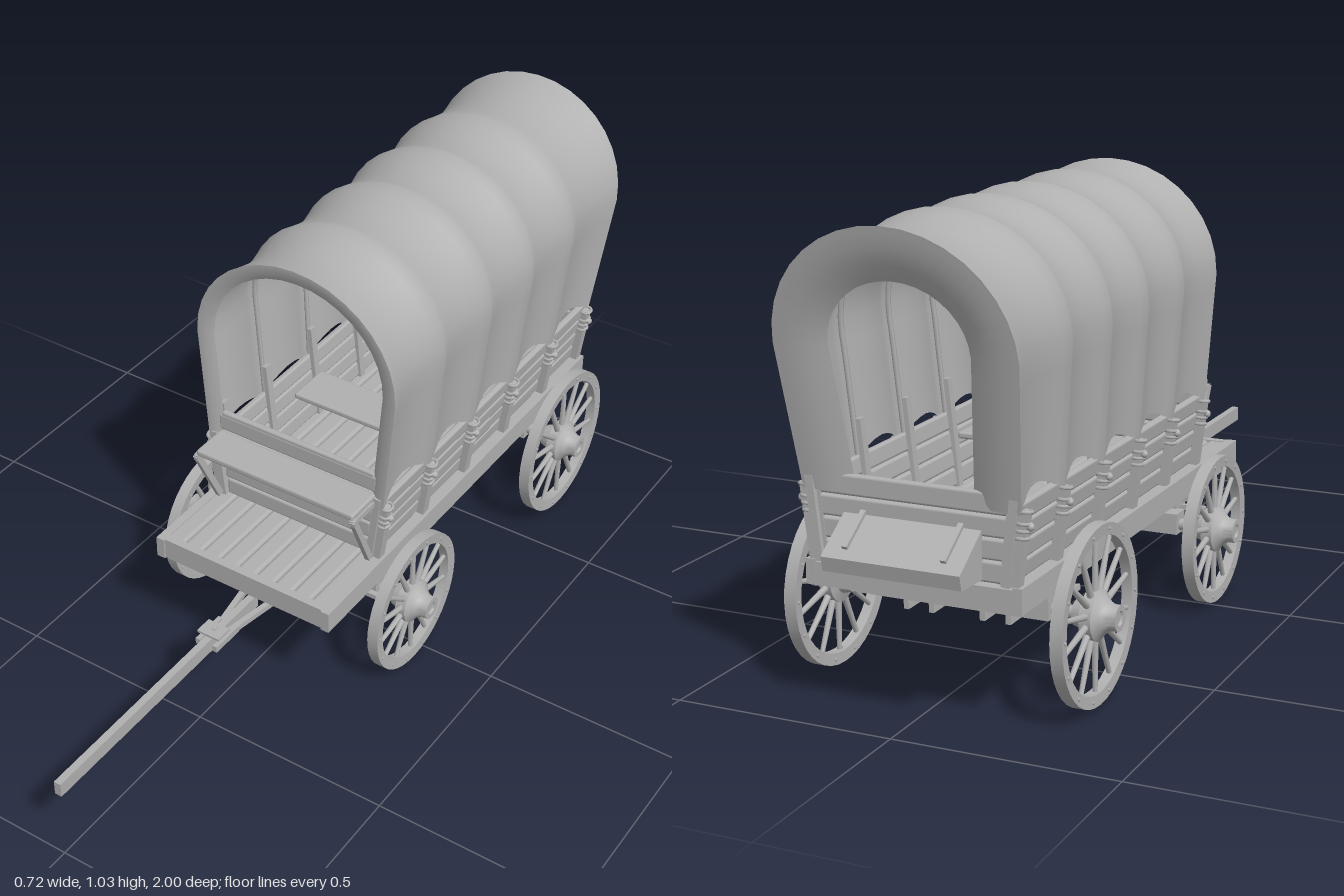
import * as THREE from 'three';
import { toCreasedNormals } from 'three/addons/utils/BufferGeometryUtils.js';
import { RoundedBoxGeometry } from 'three/addons/geometries/RoundedBoxGeometry.js';

const grey = new THREE.MeshStandardMaterial({ color: 0xb0b0b0, side: THREE.DoubleSide });
grey.name = 'warm wood grey';

function add(parent, name, geometry) {
  const mesh = new THREE.Mesh(geometry, grey);
  mesh.name = name;
  parent.add(mesh);
  return mesh;
}
function box(parent, name, w, h, d, x, y, z) {
  const m = add(parent, name, new THREE.BoxGeometry(w, h, d));
  m.position.set(x, y, z);
  return m;
}
function plank(parent, name, w, h, d, x, y, z) {
  const m = add(parent, name, new RoundedBoxGeometry(w, h, d, 2, Math.min(w, h, d) * 0.35));
  m.position.set(x, y, z);
  return m;
}
// straight beam between two points
function bar(parent, name, a, b, w, h) {
  const p = new THREE.Vector3(...a), q = new THREE.Vector3(...b);
  const m = add(parent, name, new THREE.BoxGeometry(w, h, p.distanceTo(q)));
  m.position.copy(p).add(q).multiplyScalar(0.5);
  m.lookAt(q);
  return m;
}
function lathe(points, segments) {
  const g = new THREE.LatheGeometry(points.map(p => new THREE.Vector2(...p)), segments);
  return toCreasedNormals(g.rotateZ(-Math.PI / 2), 0.6);
}

// wheel with its axle along x, outer face towards +x
function wheel(R) {
  const g = new THREE.Group();
  const r = R - 0.026;
  add(g, 'rim', lathe([[r, -0.012], [R, -0.014], [R, 0.014], [r, 0.012], [r, -0.012]], 40));
  add(g, 'hub', lathe([[0, -0.042], [0.028, -0.042], [0.034, -0.02], [0.054, -0.014], [0.054, 0.012],
    [0.04, 0.022], [0.033, 0.03], [0.028, 0.04], [0.028, 0.056], [0.016, 0.056], [0.014, 0.05], [0, 0.05]], 20));
  for (let i = 0; i < 14; i++) {
    const a = (i / 14) * Math.PI * 2;
    const spoke = add(g, 'spoke', new THREE.CylinderGeometry(0.0055, 0.008, r - 0.035, 8));
    const mid = (r + 0.045) / 2;
    spoke.position.set(0, Math.cos(a) * mid, Math.sin(a) * mid);
    spoke.rotation.x = a;
    const bolt = add(g, 'rimBolt', new THREE.CylinderGeometry(0.004, 0.004, 0.034, 6));
    bolt.rotation.z = Math.PI / 2;
    bolt.position.set(0, Math.cos(a + 0.22) * (R - 0.013), Math.sin(a + 0.22) * (R - 0.013));
  }
  return g;
}

// cover hoops: z at the side boards and at the crown
const postZ = [0.085, -0.11, -0.305, -0.5, -0.7, -0.885];
const footZ = [0.1, -0.11, -0.305, -0.5, -0.7, -0.9];
const crownZ = [0.1, -0.11, -0.33, -0.53, -0.73, -1.0];
const lerp = THREE.MathUtils.lerp;

// point on the arch: v from -1 to 1, k = hoop position, d = inset
function archPoint(v, k, d, foot, dz = 0) {
  const s = Math.sign(v), t = Math.abs(v), i = Math.min(4, Math.floor(k)), f = k - i;
  let x, y;
  if (t > 0.6) {
    const u = (t - 0.6) / 0.4;
    y = lerp(0.78, foot, u);
    x = s * (0.27 - d - 0.025 * (0.78 - y) / 0.31);
  } else {
    const a = (t / 0.6) * Math.PI / 2;
    x = s * (0.27 - d) * Math.sin(a);
    y = 0.78 + (0.255 - d) * Math.cos(a);
  }
  const z = lerp(lerp(footZ[i], footZ[i + 1], f), lerp(crownZ[i], crownZ[i + 1], f), (y - 0.47) / 0.565);
  return new THREE.Vector3(x, y, z + dz);
}

function coverGeometry() {
  const rows = [[0, 0.04, 0.47, -0.012], [0, 0.02, 0.47, 0]];
  for (let j = 0; j <= 40; j++) {
    const wave = Math.abs(Math.sin(j / 8 * Math.PI));
    rows.push([j / 8, wave * 0.018, 0.47 + wave * 0.04, 0]);
  }
  // gathered canvas around the rear opening
  rows.push([5, 0.012, 0.47, 0], [5, 0.04, 0.47, 0], [5, 0.08, 0.47, 0.008], [5, 0.113, 0.47, 0.022]);
  const N = 30, pos = [], idx = [];
  rows.forEach(([k, d, foot, dz], r) => {
    for (let i = 0; i <= N; i++) {
      pos.push(...archPoint(i / N * 2 - 1, k, d, foot, dz).toArray());
      if (r && i) {
        const c = r * (N + 1) + i, b = c - N - 1;
        idx.push(b - 1, b, c - 1, b, c, c - 1);
      }
    }
  });
  const g = new THREE.BufferGeometry();
  g.setAttribute('position', new THREE.Float32BufferAttribute(pos, 3));
  g.setIndex(idx);
  return toCreasedNormals(g, 0.65);
}

export function createModel() {
  const wagon = new THREE.Group();
  wagon.name = 'coveredWagon';

  // canvas cover and bent hoops
  add(wagon, 'canvasCover', coverGeometry());
  for (let k = 0; k < 6; k++) {
    const pts = [];
    for (let i = 0; i <= 20; i++) pts.push(archPoint(i / 10 - 1, k, 0.014, 0.47, k === 5 ? 0.015 : k ? 0 : -0.02));
    add(wagon, 'hoop', new THREE.TubeGeometry(new THREE.CatmullRomCurve3(pts), 40, 0.006, 6));
  }

  // bed: lengthwise floor boards between two rails
  const bed = new THREE.Group();
  bed.name = 'bed';
  wagon.add(bed);
  for (let i = 0; i < 9; i++) plank(bed, 'floorBoard', 0.05, 0.026, 1.2, (i - 4) * 0.0515, 0.305, -0.285);
  for (const s of [-1, 1]) {
    box(bed, 'sideRail', 0.022, 0.055, 1.225, s * 0.234, 0.2925, -0.288);
    for (const x of [0.06, 0.125]) box(bed, 'floorBeam', 0.022, 0.04, 1.18, s * x, 0.275, -0.29);
  }
  box(bed, 'frontSill', 0.45, 0.055, 0.02, 0, 0.2925, 0.31);
  box(bed, 'rearSill', 0.45, 0.05, 0.02, 0, 0.29, -0.89);

  // leaning side walls with posts, stakes and rope ties
  for (const s of [-1, 1]) {
    const wall = new THREE.Group();
    wall.name = s > 0 ? 'leftWall' : 'rightWall';
    wagon.add(wall);
    for (let i = 0; i < 4; i++) {
      const p = plank(wall, 'sidePlank', 0.018, 0.041, 0.985, s * (0.212 + i * 0.006), 0.341 + i * 0.043, -0.4);
      p.rotation.z = -s * 0.14;
    }
    postZ.forEach((z, i) => {
      bar(wall, 'post', [s * 0.226, 0.32, z], [s * 0.246, 0.475, z], 0.024, 0.02);
      bar(wall, 'innerStake', [s * 0.2, 0.32, z - (i ? 0 : 0.02)], [s * 0.226, 0.57, z - (i ? 0 : 0.02)], 0.02, 0.012);
      for (const y of [0.42, 0.435, 0.45, 0.475]) {
        const tie = add(wall, 'ropeTie', new THREE.TorusGeometry(0.014, 0.004, 6, 12));
        tie.rotation.x = Math.PI / 2 + 0.15;
        tie.position.set(s * (0.236 + (y - 0.4) * 0.14), y, z);
      }
      const knot = add(wall, 'ropeKnot', new THREE.SphereGeometry(0.009, 8, 6));
      knot.position.set(s * 0.257, 0.445, z);
    });
  }

  // front and rear walls
  for (let i = 0; i < 5; i++) {
    const y = 0.343 + i * 0.047, w = 0.405 + i * 0.01;
    plank(wagon, 'frontPlank', w, 0.045, 0.018, 0, y, 0.085);
    if (i < 4) plank(wagon, 'rearPlank', w + 0.01, 0.045, 0.018, 0, y, -0.885);
  }
  for (const s of [-1, 1]) {
    bar(wagon, 'frontCorner', [s * 0.21, 0.32, 0.095], [s * 0.23, 0.5, 0.095], 0.018, 0.018);
    bar(wagon, 'rearCorner', [s * 0.21, 0.32, -0.897], [s * 0.23, 0.5, -0.897], 0.018, 0.018);
  }

  // driver's seat
  plank(wagon, 'seat', 0.44, 0.018, 0.1, 0, 0.497, 0.14);
  plank(wagon, 'seatBack', 0.43, 0.045, 0.016, 0, 0.538, 0.085);
  for (const s of [-1, 1]) {
    bar(wagon, 'seatBrace', [s * 0.215, 0.325, 0.11], [s * 0.22, 0.49, 0.188], 0.012, 0.016);
    bar(wagon, 'seatBearer', [s * 0.218, 0.484, 0.09], [s * 0.218, 0.484, 0.193], 0.012, 0.014);
  }

  // chest and bench inside
  plank(wagon, 'chest', 0.2, 0.11, 0.16, -0.08, 0.373, -0.6);
  plank(wagon, 'innerBench', 0.4, 0.016, 0.12, 0, 0.44, -0.25);

  // sloped feed box on the tail
  const side = new THREE.Shape([[0.89, 0.325], [0.983, 0.33], [0.99, 0.362], [0.89, 0.43]].map(p => new THREE.Vector2(...p)));
  const feed = add(wagon, 'feedBox', new THREE.ExtrudeGeometry(side, { depth: 0.31, bevelEnabled: false }));
  feed.rotation.y = Math.PI / 2;
  feed.position.x = -0.155;
  for (const s of [-1, 1]) bar(wagon, 'lidStrap', [s * 0.11, 0.434, -0.892], [s * 0.11, 0.38, -0.972], 0.012, 0.008);

  // wheels and axles
  for (const [name, z, y, R, x] of [['front', 0.04, 0.18, 0.175, 0.295], ['rear', -0.68, 0.204, 0.193, 0.304]]) {
    for (const s of [-1, 1]) {
      const w = wheel(R);
      w.name = name + (s > 0 ? 'LeftWheel' : 'RightWheel');
      w.position.set(s * x, y, z);
      if (s < 0) w.rotation.y = Math.PI;
      wagon.add(w);
      bar(wagon, name + 'BolsterEnd', [s * 0.19, 0.245, z], [s * 0.262, 0.253, z], 0.04, 0.012);
    }
    const axle = add(wagon, name + 'Axle', new THREE.CylinderGeometry(0.014, 0.014, 0.54, 12));
    axle.rotation.z = Math.PI / 2;
    axle.position.set(0, y, z);
    box(wagon, name + 'AxleBeam', 0.42, 0.05, 0.05, 0, y + 0.005, z);
    box(wagon, name + 'Bolster', 0.42, 0.04, 0.055, 0, 0.245, z);
    for (const px of [-0.12, -0.06, 0.06, 0.12]) box(wagon, name + 'AxleBand', 0.012, 0.09, 0.058, px, 0.21, z);
  }
  box(wagon, 'frontCrossBeam', 0.42, 0.03, 0.04, 0, 0.175, 0.04);

  // reach pole, hounds and tongue
  bar(wagon, 'reachPole', [0, 0.205, 0.1], [0, 0.225, -0.75], 0.024, 0.022);
  for (const s of [-1, 1]) {
    bar(wagon, 'frontHound', [s * 0.075, 0.205, 0.04], [s * 0.01, 0.205, 0.43], 0.014, 0.014);
    bar(wagon, 'rearHound', [s * 0.15, 0.21, -0.68], [0, 0.213, -0.28], 0.016, 0.016);
    bar(wagon, 'middleHound', [s * 0.13, 0.2, 0.04], [0, 0.208, -0.28], 0.016, 0.014);
    box(wagon, 'tongueCheek', 0.012, 0.016, 0.09, s * 0.024, 0.208, 0.42);
  }
  bar(wagon, 'tongue', [0, 0.207, 0.27], [0, 0.207, 1.0], 0.018, 0.036);
  box(wagon, 'drawBar', 0.5, 0.012, 0.014, 0, 0.205, 0.1);
  box(wagon, 'tonguePlate', 0.06, 0.006, 0.045, 0, 0.232, 0.435);
  box(wagon, 'tonguePin', 0.012, 0.05, 0.012, 0, 0.212, 0.43);
  return wagon;
}
